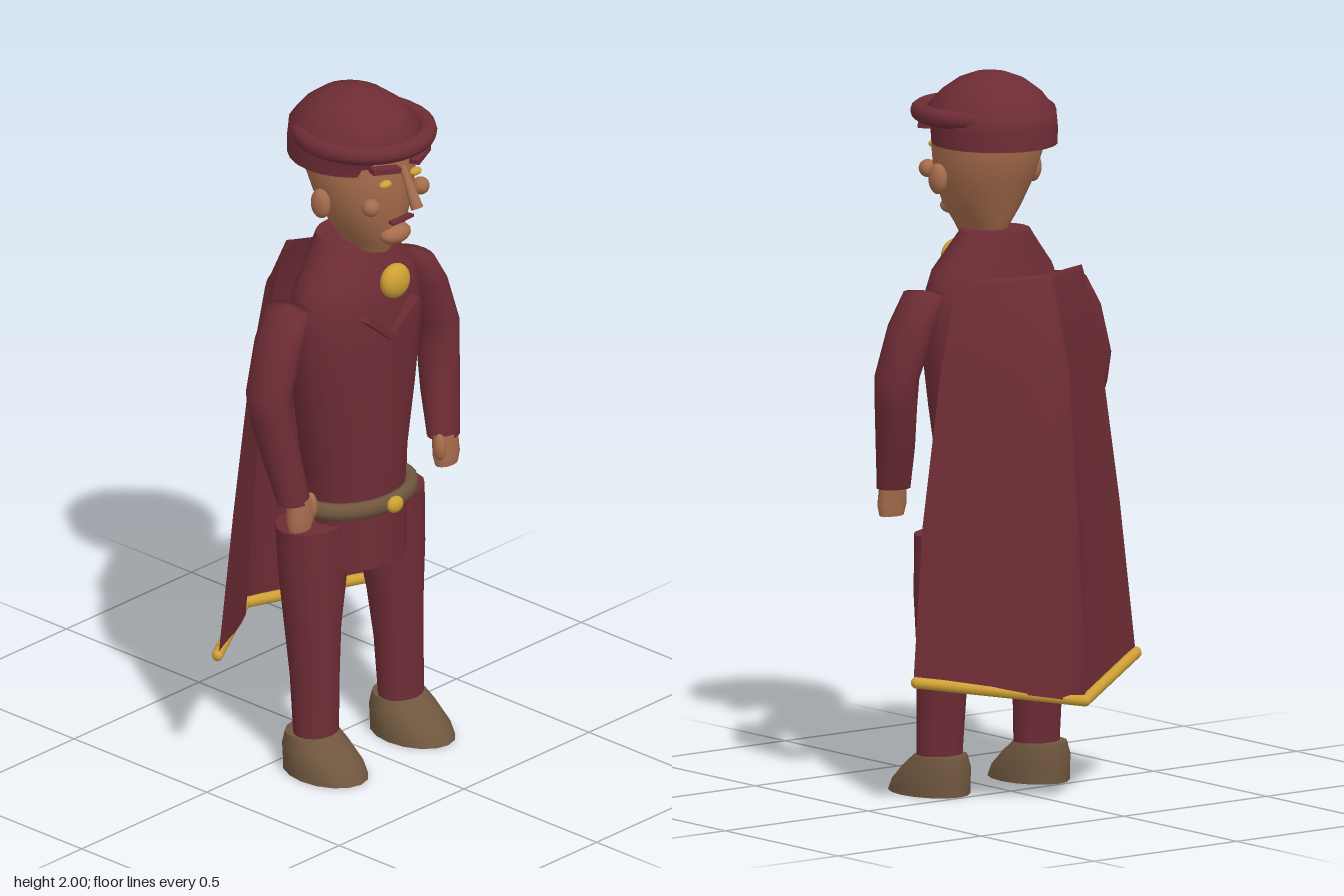
import * as THREE from 'three';

const mat = (name, color, side = THREE.FrontSide) => {
  const m = new THREE.MeshStandardMaterial({ color, side });
  m.name = name;
  return m;
};

export function createModel() {
  const root = new THREE.Group();
  root.name = 'capedFigure';
  const wine = mat('wine cloth', 0x6e2c35);
  const wineCape = mat('wine cape cloth', 0x6e2c35, THREE.DoubleSide);
  const skin = mat('skin', 0xa66c4c);
  const leather = mat('brown leather', 0x6f563e);
  const gold = mat('gold', 0xcfa035);

  const add = (name, geo, material, x = 0, y = 0, z = 0, parent = root) => {
    const m = new THREE.Mesh(geo, material);
    m.name = name;
    m.position.set(x, y, z);
    parent.add(m);
    return m;
  };
  const ball = (name, material, x, y, z, rx, ry, rz, parent = root) =>
    add(name, new THREE.SphereGeometry(1, 16, 12).scale(rx, ry, rz), material, x, y, z, parent);

  // Closed loft through elliptical rings [cx, y, cz, rx, rz], listed bottom to top
  const loft = (rings, n = 16) => {
    const pos = [], idx = [];
    const ring = ([cx, y, cz, rx, rz]) => {
      for (let j = 0; j < n; j++) {
        const a = (j / n) * Math.PI * 2;
        pos.push(cx + rx * Math.sin(a), y, cz + rz * Math.cos(a));
      }
    };
    rings.forEach(ring);
    for (let i = 0; i < rings.length - 1; i++) {
      for (let j = 0; j < n; j++) {
        const a = i * n + j, b = i * n + (j + 1) % n;
        idx.push(a, b, b + n, a, b + n, a + n);
      }
    }
    // Separate cap vertices keep the end edges sharp
    [rings[0], rings[rings.length - 1]].forEach((r, k) => {
      const s = pos.length / 3;
      ring(r);
      for (let j = 1; j < n - 1; j++) {
        if (k) idx.push(s, s + j, s + j + 1);
        else idx.push(s, s + j + 1, s + j);
      }
    });
    const g = new THREE.BufferGeometry();
    g.setAttribute('position', new THREE.Float32BufferAttribute(pos, 3));
    g.setIndex(idx);
    g.computeVertexNormals();
    return g;
  };

  // Tunic
  add('torso', loft([
    [0, 0.755, 0.085, 0.155, 0.125], [0, 0.9, 0.085, 0.165, 0.13],
    [0, 1.08, 0.085, 0.2, 0.132], [0, 1.28, 0.085, 0.228, 0.138],
    [0, 1.38, 0.085, 0.218, 0.132], [0, 1.45, 0.085, 0.19, 0.122], [0, 1.56, 0.07, 0.1, 0.09],
  ], 20), wine);
  add('tunicFlap', new THREE.CylinderGeometry(0.155, 0.155, 0.19, 20, 1, true, -Math.PI / 2, Math.PI)
    .scale(1, 1, 0.88), wineCape, 0, 0.69, 0.085);
  for (const s of [-1, 1]) {
    const bar = add('neckTrim', new THREE.BoxGeometry(0.135, 0.02, 0.03), wine, s * 0.05, 1.328, 0.225);
    bar.rotation.z = s * 0.7;
  }
  ball('brooch', gold, 0, 1.46, 0.24, 0.05, 0.05, 0.033);

  // Belt and buckle
  add('belt', new THREE.TorusGeometry(1, 0.14, 10, 28).rotateX(Math.PI / 2)
    .scale(0.175, 0.18, 0.13), leather, 0, 0.78, 0.09);
  ball('buckle', gold, 0, 0.78, 0.24, 0.028, 0.024, 0.018);

  // Head and face
  add('head', loft([
    [0, 1.54, 0.13, 0.05, 0.08], [0, 1.57, 0.13, 0.065, 0.095], [0, 1.62, 0.13, 0.1, 0.118],
    [0, 1.7, 0.12, 0.137, 0.14], [0, 1.78, 0.105, 0.15, 0.16], [0, 1.86, 0.1, 0.148, 0.155],
  ], 24), skin);
  const nose = add('nose', new THREE.CylinderGeometry(0.01, 0.018, 0.125, 10), skin, 0, 1.762, 0.296);
  nose.rotation.x = -0.45;
  ball('chin', skin, 0, 1.605, 0.24, 0.052, 0.028, 0.035);
  for (const s of [-1, 1]) {
    ball('ear', skin, s * 0.165, 1.71, 0.115, 0.022, 0.043, 0.032);
    ball('cheek', skin, s * 0.1, 1.715, 0.242, 0.025, 0.025, 0.025);
    ball('eye', gold, s * 0.06, 1.778, 0.26, 0.021, 0.011, 0.014);
    const brow = add('eyebrow', new THREE.BoxGeometry(0.085, 0.015, 0.03), wine, s * 0.07, 1.828, 0.268);
    brow.rotation.set(0, s * 0.35, s * 0.12);
    const lip = add('mouth', new THREE.BoxGeometry(0.042, 0.008, 0.02), wine, s * 0.02, 1.656, 0.266);
    lip.rotation.set(0, s * 0.2, -s * 0.1);
  }

  // Rounded cap with a rolled brim toward the front
  add('cap', loft([
    [0, 1.8, 0.073, 0.172, 0.178], [0, 1.85, 0.075, 0.174, 0.18], [0, 1.89, 0.09, 0.172, 0.195],
    [0, 1.94, 0.086, 0.134, 0.15], [0, 1.975, 0.084, 0.088, 0.1],
    [0, 1.992, 0.085, 0.045, 0.052], [0, 2, 0.085, 0.005, 0.005],
  ], 24), wine);
  add('capBrim', new THREE.TorusGeometry(0.174, 0.026, 10, 32).rotateX(Math.PI / 2)
    .scale(1, 1, 1.02), wine, 0, 1.882, 0.122);

  // Limbs, built once per side
  for (const s of [-1, 1]) {
    const side = new THREE.Group();
    side.name = s > 0 ? 'leftLimbs' : 'rightLimbs';
    root.add(side);
    const rings = list => list.map(([x, ...r]) => [x * s, ...r]);

    add('sleeve', loft(rings([
      [0.3, 0.86, 0.14, 0.05, 0.042], [0.316, 0.98, 0.112, 0.053, 0.056],
      [0.333, 1.1, 0.088, 0.053, 0.066], [0.336, 1.18, 0.08, 0.056, 0.07],
      [0.288, 1.32, 0.073, 0.062, 0.073], [0.25, 1.405, 0.072, 0.044, 0.07],
      [0.25, 1.413, 0.072, 0.005, 0.008],
    ])), wine, 0, 0, 0, side);
    add('hand', loft(rings([
      [0.293, 0.78, 0.158, 0.038, 0.024], [0.292, 0.81, 0.158, 0.046, 0.028],
      [0.292, 0.87, 0.152, 0.042, 0.03],
    ]), 12), skin, 0, 0, 0, side);
    ball('thumb', skin, s * 0.258, 0.84, 0.165, 0.017, 0.04, 0.02, side);

    add('leg', loft(rings([
      [0.17, 0.1, 0.102, 0.068, 0.058], [0.168, 0.28, 0.095, 0.074, 0.064],
      [0.165, 0.42, 0.085, 0.082, 0.075], [0.157, 0.56, 0.078, 0.105, 0.082],
      [0.15, 0.66, 0.072, 0.115, 0.088], [0.148, 0.73, 0.07, 0.118, 0.09],
    ])), wine, 0, 0, 0, side);
    add('shoe', loft(rings([
      [0.174, 0, 0.142, 0.098, 0.134], [0.174, 0.035, 0.132, 0.098, 0.122],
      [0.174, 0.075, 0.108, 0.09, 0.1], [0.174, 0.11, 0.09, 0.075, 0.073],
    ])), leather, 0, 0, 0, side);
  }

  // Cape rows: centre y, z, edge x, y, z, and how far the cloth billows to one side
  const rows = [
    [1.46, -0.145, 0.22, 1.45, -0.035, 0],
    [1.45, -0.17, 0.225, 1.43, -0.038, 0],
    [1.2, -0.252, 0.28, 1.2, -0.042, 0.012],
    [0.78, -0.292, 0.345, 0.78, -0.045, 0.022],
    [0.295, -0.328, 0.388, 0.36, -0.06, 0.022],
  ];
  const cols = 12, pos = [], idx = [];
  rows.forEach(([cy, cz, ex, ey, ez, billow], i) => {
    for (let j = 0; j <= cols; j++) {
      const u = (j / cols) * 2 - 1, t = Math.abs(u);
      const wave = Math.sign(u) * billow * Math.sin(Math.PI * Math.sqrt(t));
      pos.push(u * ex, cy + (ey - cy) * t, cz + (ez - cz) * t - wave);
      if (!i || j === cols) continue;
      const b = i * (cols + 1) + j, a = b - cols - 1;
      idx.push(a, a + 1, b + 1, a, b + 1, b);
    }
  });
  const cape = new THREE.BufferGeometry();
  cape.setAttribute('position', new THREE.Float32BufferAttribute(pos, 3));
  cape.setIndex(idx);
  cape.computeVertexNormals();
  add('cape', cape, wineCape);

  // Gold hem along the lower edge of the cape
  for (const s of [-1, 1]) {
    const path = new THREE.LineCurve3(
      new THREE.Vector3(0, 0.298, -0.328), new THREE.Vector3(s * 0.385, 0.354, -0.068));
    add('capeHem', new THREE.TubeGeometry(path, 1, 0.016, 10), gold);
    ball('capeHemEnd', gold, s * 0.385, 0.354, -0.068, 0.014, 0.016, 0.016);
  }
  ball('capeHemPoint', gold, 0, 0.298, -0.328, 0.016, 0.016, 0.016);

  return root;
}
